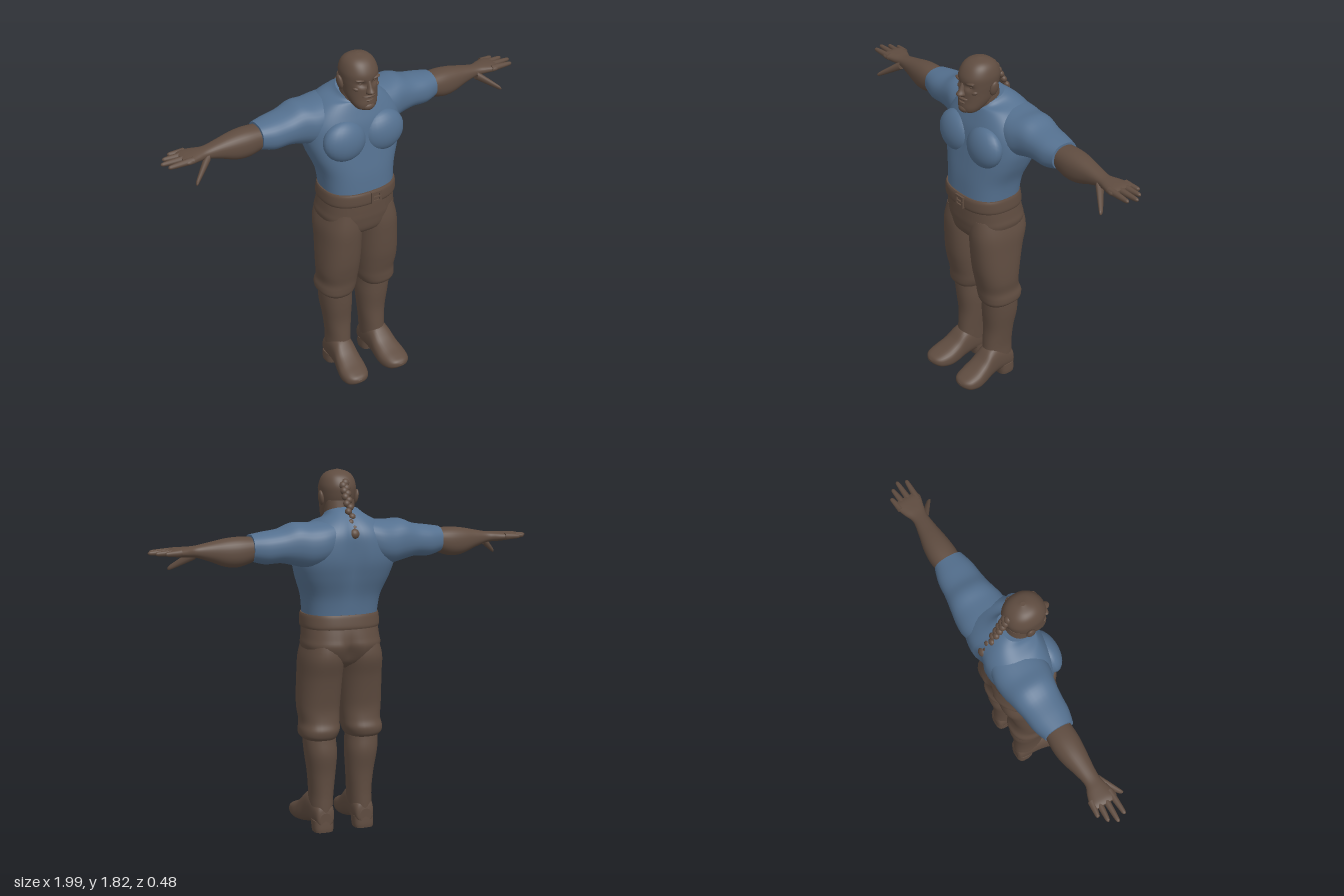
import * as THREE from 'three';

const skin = new THREE.MeshStandardMaterial({ color: 0x5f4c40 });
skin.name = 'brown';
const cloth = new THREE.MeshStandardMaterial({ color: 0x54708f });
cloth.name = 'blue';

// Smooth closed body through cross-sections [t, a0, a1, b0, b1, tilt]; t must increase.
// Axis x: a=y, b=z. Axis y: a=z, b=x. Axis z: a=x, b=y.
function loft(axis, rings, { n = 32, sub = 5, p = 2.3, rule } = {}) {
  const spline = (k, u) => {
    const m = rings.length - 1, i = Math.min(Math.floor(u), m - 1), f = u - i;
    const v = j => rings[Math.max(0, Math.min(m, j))][k] ?? 0;
    const a = v(i - 1), b = v(i), c = v(i + 1), d = v(i + 2);
    return b + 0.5 * f * (c - a + f * (2 * a - 5 * b + 4 * c - d + f * (3 * (b - c) + d - a)));
  };
  const pos = [], idx = [], rows = (rings.length - 1) * sub;
  const put = (t, a, b) => {
    const v = axis === 'x' ? new THREE.Vector3(t, a, b)
      : axis === 'y' ? new THREE.Vector3(b, t, a) : new THREE.Vector3(a, b, t);
    if (rule) rule(v);
    pos.push(v.x, v.y, v.z);
  };
  const pw = s => Math.sign(s) * Math.abs(s) ** (2 / p);
  const ring = u => {
    const [t, a0, a1, b0, b1, tilt] = [0, 1, 2, 3, 4, 5].map(k => spline(k, u));
    for (let j = 0; j < n; j++) {
      const w = j / n * Math.PI * 2, ca = pw(Math.cos(w));
      put(t + tilt * ca, (a0 + a1) / 2 + ca * (a1 - a0) / 2, (b0 + b1) / 2 + pw(Math.sin(w)) * (b1 - b0) / 2);
    }
    return [t, (a0 + a1) / 2, (b0 + b1) / 2];
  };
  for (let i = 0; i <= rows; i++) ring(i / sub);
  for (let i = 0; i < rows; i++) for (let j = 0; j < n; j++) {
    const a = i * n + j, b = i * n + (j + 1) % n;
    idx.push(a, b, a + n, b, b + n, a + n);
  }
  for (const end of [0, 1]) {
    const s = pos.length / 3;
    put(...ring(end * (rings.length - 1)));
    for (let j = 0; j < n; j++) {
      const a = s + j, b = s + (j + 1) % n;
      idx.push(s + n, end ? a : b, end ? b : a);
    }
  }
  const g = new THREE.BufferGeometry();
  g.setAttribute('position', new THREE.Float32BufferAttribute(pos, 3));
  g.setIndex(idx);
  g.computeVertexNormals();
  return g;
}

function ball(x, y, z, rx, ry, rz, tiltZ = 0, tiltX = 0) {
  return new THREE.SphereGeometry(1, 24, 16).scale(rx, ry, rz).rotateZ(tiltZ).rotateX(tiltX).translate(x, y, z);
}

function mirrored(geo) {
  const g = geo.clone().scale(-1, 1, 1), ix = g.index.array;
  for (let i = 0; i < ix.length; i += 3) [ix[i], ix[i + 1]] = [ix[i + 1], ix[i]];
  g.computeVertexNormals();
  return g;
}

const bump = (d, w) => Math.exp(-((d / w) ** 2));

export function createModel() {
  const model = new THREE.Group();
  model.name = 'figure';
  const add = (name, geo, mat = skin) => {
    const m = new THREE.Mesh(geo, mat);
    m.name = name;
    model.add(m);
  };
  const pair = (name, geo, mat = skin) => {
    add(name + 'Left', geo, mat);
    add(name + 'Right', mirrored(geo), mat);
  };

  // Shirt, with a groove down the spine
  add('shirtBody', loft('y', [
    [1.09, -0.165, 0.13, -0.184, 0.184], [1.2, -0.18, 0.122, -0.197, 0.197],
    [1.3, -0.215, 0.106, -0.235, 0.235], [1.38, -0.238, 0.092, -0.255, 0.255],
    [1.46, -0.243, 0.08, -0.25, 0.25], [1.52, -0.235, 0.06, -0.22, 0.22],
    [1.57, -0.205, 0.04, -0.16, 0.16], [1.597, -0.155, 0.035, -0.1, 0.1, -0.02],
    [1.615, -0.115, 0.03, -0.08, 0.08, -0.025]], {
    n: 56, p: 2.6,
    rule: v => { if (v.z < -0.08) v.z += 0.028 * bump(v.x, 0.035) * bump(v.y - 1.4, 0.16); }
  }), cloth);
  pair('chestMuscle', ball(0.108, 1.395, 0.058, 0.115, 0.105, 0.065, 0.2, -0.1), cloth);
  pair('sleeve', loft('x', [
    [0.06, 1.42, 1.585, -0.22, -0.02], [0.14, 1.37, 1.578, -0.24, 0.015],
    [0.21, 1.355, 1.573, -0.237, 0.02], [0.28, 1.37, 1.576, -0.225, 0.002],
    [0.35, 1.385, 1.55, -0.212, -0.008], [0.43, 1.383, 1.538, -0.202, -0.014],
    [0.495, 1.4, 1.528, -0.182, -0.032]]), cloth);

  // Forearm and palm
  pair('forearm', loft('x', [
    [0.47, 1.405, 1.515, -0.172, -0.045], [0.55, 1.378, 1.52, -0.178, -0.042],
    [0.62, 1.38, 1.515, -0.172, -0.048], [0.7, 1.41, 1.5, -0.154, -0.06],
    [0.77, 1.432, 1.487, -0.143, -0.066], [0.82, 1.436, 1.485, -0.162, -0.056],
    [0.87, 1.441, 1.482, -0.177, -0.044], [0.895, 1.45, 1.475, -0.168, -0.052]]));

  // Fingers and thumb, tapering from knuckle to rounded tip
  const digit = (a, b, r0, r1) => {
    const at = (f, r) => {
      const [x, y, z] = a.map((s, k) => s + (b[k] - s) * f);
      return [x, y - r, y + r, z - r, z + r];
    };
    return loft('x', [at(0, r0), at(0.45, (r0 + r1) / 2), at(0.85, r1), at(0.96, r1 * 0.7), at(1, r1 * 0.15)],
      { n: 12, sub: 3, p: 2 });
  };
  [[0.93, -0.172, -0.16], [0.97, -0.143, -0.132], [0.995, -0.105, -0.1], [0.978, -0.062, -0.065]]
    .forEach(([x, z, root], i) => pair('finger' + (i + 1),
      digit([0.85, 1.463, root], [x, 1.462, z], 0.018, 0.011)));
  pair('thumb', digit([0.765, 1.445, -0.085], [0.873, 1.37, 0], 0.026, 0.013));

  // Trousers: pelvis with a rear crease, then legs ending in gathered cuffs
  add('trouserSeat', loft('y', [
    [0.84, -0.1, 0.05, -0.07, 0.07], [0.88, -0.16, 0.112, -0.16, 0.16],
    [0.95, -0.195, 0.128, -0.197, 0.197], [1.0, -0.188, 0.131, -0.194, 0.194],
    [1.07, -0.17, 0.132, -0.187, 0.187]], {
    n: 48, p: 2.5,
    rule: v => { if (v.z < -0.08) v.z += 0.035 * bump(v.x, 0.025) * bump(v.y - 0.92, 0.07); }
  }));
  pair('trouserLeg', loft('y', [
    [0.482, -0.125, 0.066, 0.036, 0.198], [0.5, -0.138, 0.076, 0.025, 0.214],
    [0.53, -0.143, 0.08, 0.015, 0.216], [0.57, -0.13, 0.084, 0.012, 0.21],
    [0.63, -0.125, 0.097, 0.008, 0.217], [0.7, -0.135, 0.11, 0.004, 0.217],
    [0.8, -0.155, 0.12, 0.001, 0.212], [0.9, -0.182, 0.125, 0, 0.205],
    [0.99, -0.17, 0.115, 0.01, 0.18]], { p: 2.4 }));

  // Belt and open buckle
  add('belt', loft('y', [
    [1.045, -0.178, 0.136, -0.194, 0.194], [1.06, -0.181, 0.142, -0.198, 0.198],
    [1.1, -0.175, 0.142, -0.196, 0.196], [1.116, -0.17, 0.137, -0.192, 0.192]], { n: 48, p: 2.5 }));
  const plate = new THREE.Shape([[-0.03, -0.03], [0.03, -0.03], [0.03, 0.03], [-0.03, 0.03]]
    .map(q => new THREE.Vector2(...q)));
  plate.holes.push(new THREE.Path([[-0.018, -0.018], [-0.018, 0.018], [0.018, 0.018], [0.018, -0.018]]
    .map(q => new THREE.Vector2(...q))));
  add('buckle', new THREE.ExtrudeGeometry(plate, { depth: 0.012, bevelEnabled: false }).translate(0.02, 1.082, 0.137));
  add('bucklePin', new THREE.BoxGeometry(0.05, 0.008, 0.01).translate(0.025, 1.082, 0.146));

  // Boots: shaft, foot and heel
  pair('bootShaft', loft('y', [
    [0.06, -0.112, 0.025, 0.056, 0.16], [0.13, -0.111, 0.055, 0.05, 0.164],
    [0.2, -0.11, 0.052, 0.045, 0.164], [0.3, -0.116, 0.045, 0.036, 0.174],
    [0.4, -0.132, 0.053, 0.03, 0.189], [0.47, -0.126, 0.056, 0.034, 0.195],
    [0.51, -0.12, 0.055, 0.036, 0.195]]));
  pair('bootFoot', loft('z', [
    [-0.112, 0.08, 0.14, 0.03, 0.1], [-0.1, 0.06, 0.155, 0.025, 0.14],
    [-0.05, 0.052, 0.165, 0.028, 0.18], [0, 0.05, 0.17, 0.028, 0.2],
    [0.05, 0.05, 0.176, 0.018, 0.185], [0.1, 0.047, 0.187, 0.006, 0.138],
    [0.15, 0.047, 0.196, 0.003, 0.108], [0.2, 0.06, 0.19, 0.014, 0.088],
    [0.228, 0.083, 0.168, 0.032, 0.075], [0.24, 0.115, 0.14, 0.046, 0.06]], { p: 2.5 }));
  pair('bootHeel', loft('y', [
    [0, -0.112, -0.022, 0.06, 0.16], [0.02, -0.114, -0.018, 0.057, 0.163],
    [0.06, -0.112, -0.01, 0.056, 0.163]], { p: 3 }));

  // Neck and head, with eye sockets pressed in
  add('neck', loft('y', [
    [1.5, -0.12, 0.03, -0.085, 0.085], [1.58, -0.1, 0.045, -0.076, 0.076],
    [1.67, -0.085, 0.05, -0.074, 0.074]]));
  add('head', loft('y', [
    [1.553, 0.05, 0.09, -0.025, 0.025], [1.562, 0.025, 0.11, -0.048, 0.048],
    [1.585, -0.01, 0.116, -0.064, 0.064], [1.62, -0.055, 0.112, -0.076, 0.076],
    [1.66, -0.08, 0.11, -0.082, 0.082], [1.7, -0.092, 0.11, -0.087, 0.087],
    [1.74, -0.094, 0.107, -0.088, 0.088], [1.78, -0.076, 0.086, -0.075, 0.075],
    [1.804, -0.045, 0.056, -0.05, 0.05], [1.816, -0.008, 0.015, -0.01, 0.01]], {
    n: 56, sub: 6, p: 2.2,
    rule: v => { if (v.z > 0) v.z -= 0.016 * bump(Math.abs(v.x) - 0.036, 0.02) * bump(v.y - 1.693, 0.014); }
  }));
  add('nose', loft('y', [
    [1.643, 0.09, 0.122, -0.017, 0.017], [1.655, 0.085, 0.142, -0.021, 0.021],
    [1.675, 0.085, 0.129, -0.014, 0.014], [1.71, 0.085, 0.112, -0.009, 0.009]], { n: 20, p: 2 }));
  add('moustache', ball(0, 1.631, 0.102, 0.036, 0.008, 0.02));
  add('lowerLip', ball(0, 1.611, 0.104, 0.024, 0.006, 0.017));
  add('chinBeard', ball(0, 1.575, 0.092, 0.036, 0.024, 0.03));
  pair('brow', ball(0.038, 1.714, 0.092, 0.03, 0.008, 0.015, 0.15));
  pair('eye', ball(0.036, 1.693, 0.079, 0.013, 0.009, 0.012));
  pair('cheekbone', ball(0.05, 1.666, 0.075, 0.022, 0.012, 0.018, 0.3));
  pair('ear', ball(0.092, 1.68, -0.01, 0.013, 0.037, 0.023, -0.15, -0.15));

  // Braid of overlapping strands hanging from the back of the head
  const path = new THREE.CatmullRomCurve3([[1.755, -0.08], [1.7, -0.112], [1.63, -0.15], [1.52, -0.213]]
    .map(([y, z]) => new THREE.Vector3(0, y, z)));
  for (let i = 0; i < 14; i++) {
    const q = path.getPoint(i / 13), s = i % 2 ? 1 : -1, r = i < 13 ? 0.021 - i * 0.0004 : 0.025;
    add('braidStrand' + (i + 1), ball(i < 13 ? s * 0.007 : 0, q.y, q.z, r, r, r * 0.85, s * 0.5, 0.4));
  }
  return model;
}
